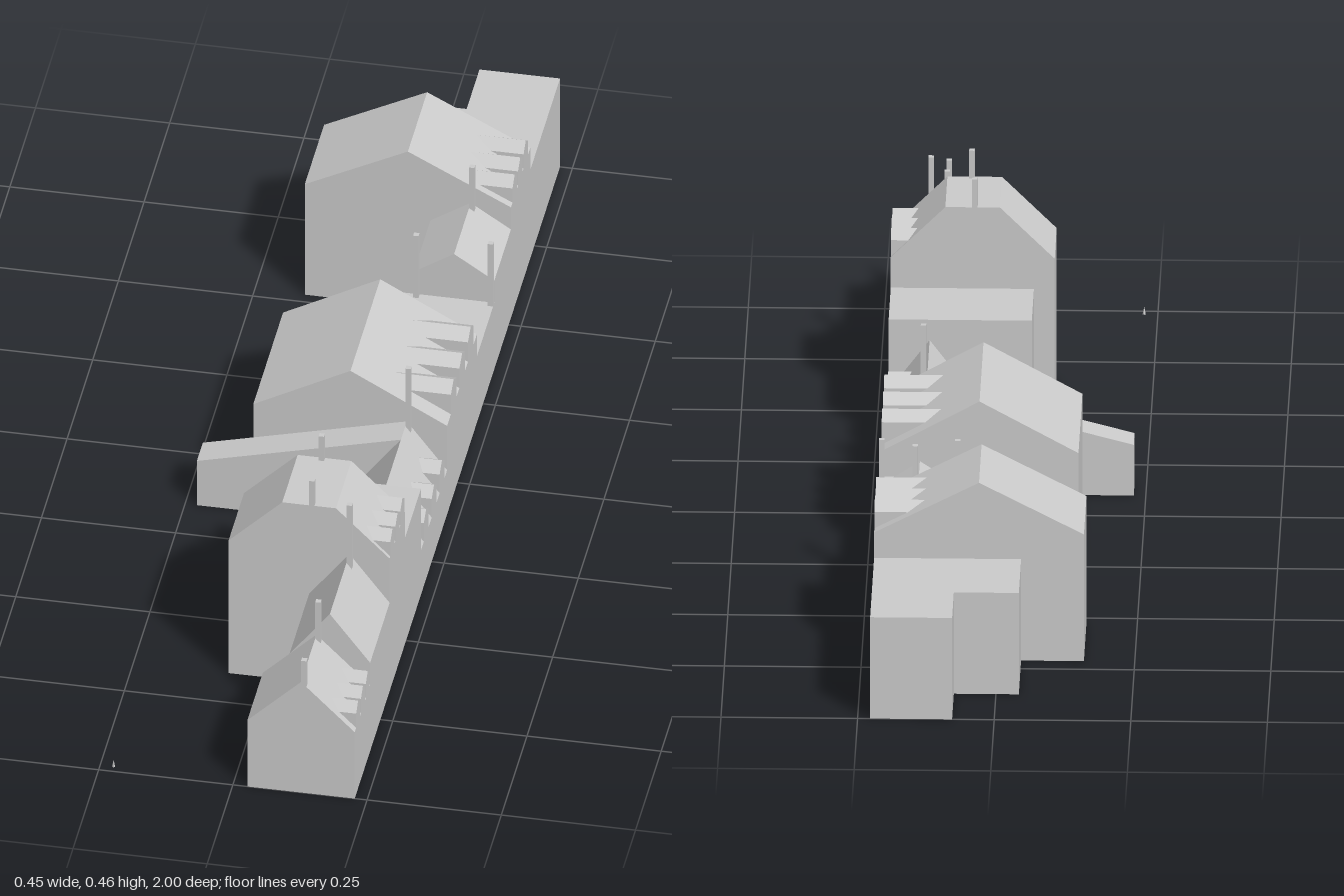
import * as THREE from 'three';

const STREET = 0.227; // x of the common street facade

const material = new THREE.MeshStandardMaterial({ color: 0xcccccc, flatShading: true });

// Extrude a profile of [x, y] points along z
function prism(points, depth) {
  const shape = new THREE.Shape(points.map(([x, y]) => new THREE.Vector2(x, y)));
  return new THREE.ExtrudeGeometry(shape, { depth, bevelEnabled: false });
}

function add(parent, name, geometry, x = 0, y = 0, z = 0) {
  const mesh = new THREE.Mesh(geometry, material);
  mesh.name = name;
  mesh.position.set(x, y, z);
  parent.add(mesh);
  return mesh;
}

// Each house: z range, back wall x, eave height, roof points between the eaves,
// and optionally dormers given by centre z, width and rise above the eave
const houses = [
  { name: 'frontHouse', z: [0.85, 1], back: 0.027, eave: 0.15, roof: [[0.127, 0.25]],
    dormers: { at: [0.873, 0.92, 0.967], width: 0.038, rise: 0.048 } },
  { name: 'tallNarrowHouse', z: [0.66, 0.85], back: 0.077, eave: 0.2, roof: [[0.152, 0.3]] },
  { name: 'flatToppedHall', z: [0.51, 0.66], back: -0.073, eave: 0.3, roof: [[0.127, 0.4], [0.027, 0.4]],
    dormers: { at: [0.535, 0.583, 0.632], width: 0.042, rise: 0.048 } },
  { name: 'flatBlock', z: [0.355, 0.51], back: -0.035, eave: 0.24, roof: [] },
  { name: 'lowHouse', z: [0.1, 0.355], back: 0.077, eave: 0.1, roof: [[0.152, 0.2]],
    dormers: { at: [0.15, 0.227, 0.304], width: 0.046, rise: 0.058 } },
  { name: 'wideHouse', z: [-0.19, 0.1], back: -0.134, eave: 0.2, roof: [[0.047, 0.3]],
    dormers: { at: [-0.13, -0.047, 0.036], width: 0.054, rise: 0.06 } },
  { name: 'lowFlatBlock', z: [-0.36, -0.19], back: -0.03, eave: 0.15, roof: [] },
  { name: 'smallHouse', z: [-0.522, -0.36], back: 0.077, eave: 0.2, roof: [[0.152, 0.25]] },
  { name: 'largeRearHouse', z: [-0.71, -0.522], back: -0.157, eave: 0.25, roof: [[0.035, 0.35]],
    dormers: { at: [-0.667, -0.613, -0.559], width: 0.044, rise: 0.048 } },
  { name: 'rearFlatBlock', z: [-0.875, -0.71], back: -0.042, eave: 0.2, roof: [] },
  { name: 'endFlatBlock', z: [-1, -0.875], back: 0.077, eave: 0.2, roof: [] },
];

// Chimneys: centre x, centre z, base y, top y
const chimneys = [
  [0.132, 0.995, 0.2, 0.298], [0.132, 0.857, 0.2, 0.332],
  [0.157, 0.683, 0.25, 0.43],
  [0.082, 0.655, 0.38, 0.455], [0.073, 0.515, 0.38, 0.455],
  [0.157, 0.11, 0.15, 0.33],
  [0.083, -0.353, 0.1, 0.29], [0.222, -0.353, 0.1, 0.29],
  [0.157, -0.51, 0.2, 0.342],
];

export function createModel() {
  const model = new THREE.Group();
  model.name = 'houseRow';

  for (const { name, z, back, eave, roof, dormers } of houses) {
    const house = new THREE.Group();
    house.name = name;
    model.add(house);

    // Walls and roof in one profile
    const profile = [[back, 0], [STREET, 0], [STREET, eave], ...roof, [back, eave]];
    add(house, 'wallsAndRoof', prism(profile, z[1] - z[0]), 0, 0, z[0]);

    // Gabled dormers run back from the facade until their ridge meets the roof
    if (dormers) {
      const w = dormers.width / 2, rise = dormers.rise, shoulder = rise - 0.016;
      const slope = (roof[0][1] - eave) / (STREET - roof[0][0]);
      const depth = rise / slope;
      const gable = [[-w, 0], [w, 0], [w, shoulder], [0, rise], [-w, shoulder]];
      for (const dz of dormers.at) {
        const geometry = prism(gable, depth).rotateY(Math.PI / 2);
        add(house, 'dormer', geometry, STREET - depth, eave, dz);
      }
    }
  }

  // Sloping lean-to behind the low house
  const leanTo = [[-0.228, 0], [0.152, 0], [0.152, 0.2], [-0.228, 0.1]];
  add(model, 'leanTo', prism(leanTo, 0.058), 0, 0, 0.1);

  for (const [x, z, base, top] of chimneys) {
    add(model, 'chimney', new THREE.BoxGeometry(0.01, top - base, 0.01), x, (base + top) / 2, z);
  }

  // Tiny marker standing in the yard
  add(model, 'yardMarker', new THREE.ConeGeometry(0.003, 0.015, 4), -0.225, 0.0075, 0.985);

  return model;
}
